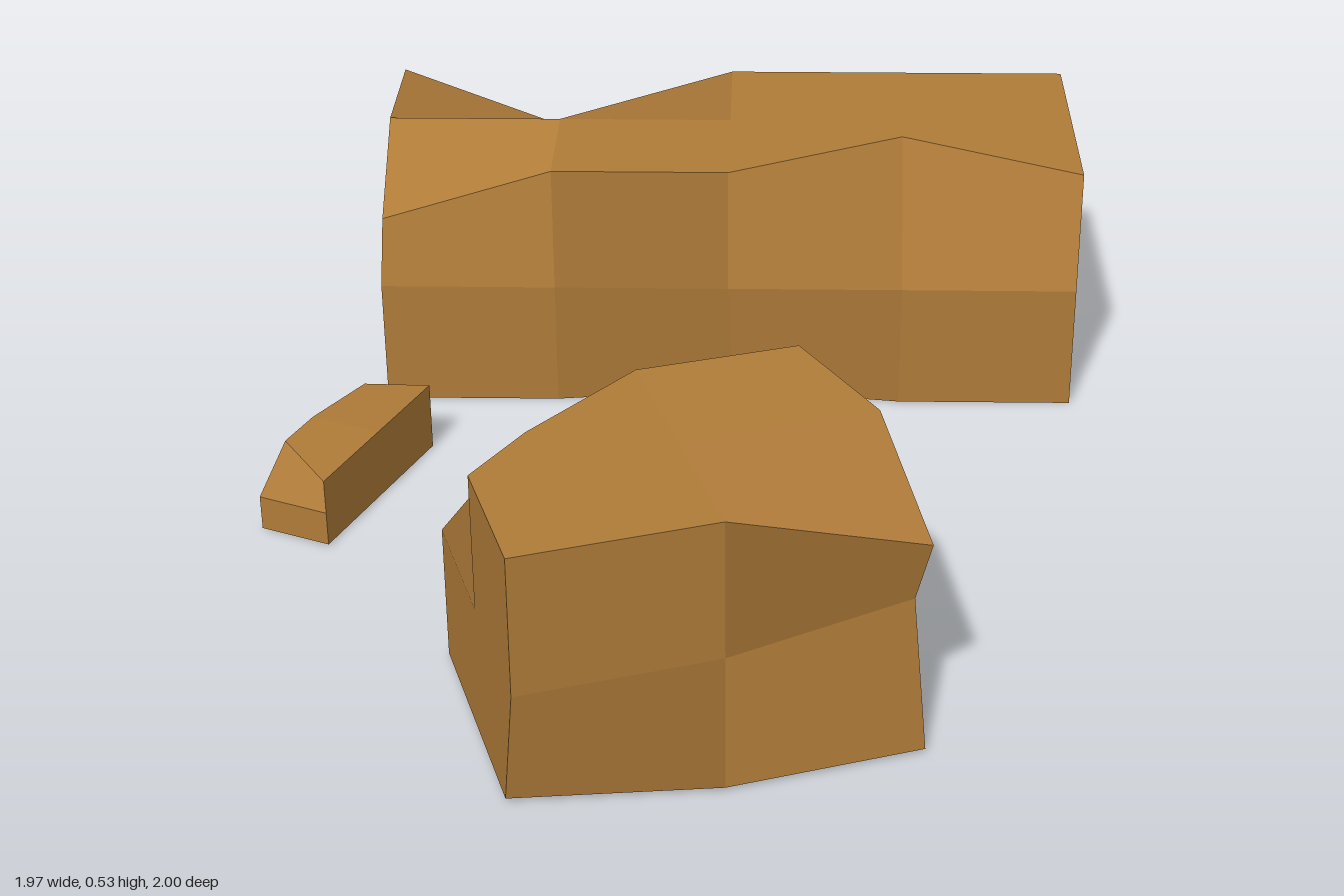
import * as THREE from 'three';

const stone = new THREE.MeshStandardMaterial({ color: 0xb07c39, side: THREE.DoubleSide });
stone.name = 'ochreStone';

// A hollow segmented box, open underneath. Each chip is [i, j, k, dx, dy, dz]:
// the grid point (along x, y, z) that is knocked out of place, and by how much.
function chippedBlock(name, size, segments, centre, lift, angle, chips) {
  const box = new THREE.BoxGeometry(...size, ...segments);
  const source = box.attributes.position;
  const point = new THREE.Vector3();
  for (let n = 0; n < source.count; n++) {
    point.fromBufferAttribute(source, n);
    const cell = point.toArray().map((v, a) => Math.round((v / size[a] + 0.5) * segments[a]));
    for (const [i, j, k, dx, dy, dz] of chips) {
      if (cell[0] === i && cell[1] === j && cell[2] === k) point.add(new THREE.Vector3(dx, dy, dz));
    }
    source.setXYZ(n, point.x, point.y, point.z);
  }

  // Leave out the underside and turn the diagonals of the side facets
  const TOP = 2, BOTTOM = 3;
  const index = box.index.array;
  const faces = [];
  for (const { start, count, materialIndex } of box.groups) {
    if (materialIndex === BOTTOM) continue;
    for (let q = start; q < start + count; q += 6) {
      const [a, b, d, , c] = index.slice(q, q + 6);
      faces.push(...(materialIndex === TOP ? [a, b, d, b, c, d] : [a, b, c, a, c, d]));
    }
  }
  box.setIndex(faces);
  box.clearGroups();

  // One flat normal for each four-sided facet
  const geometry = box.toNonIndexed();
  const position = geometry.attributes.position;
  const corner = (n) => new THREE.Vector3().fromBufferAttribute(position, n);
  const slope = (n) => corner(n + 1).sub(corner(n)).cross(corner(n + 2).sub(corner(n)));
  for (let q = 0; q < position.count; q += 6) {
    const normal = slope(q).add(slope(q + 3)).normalize();
    for (let n = q; n < q + 6; n++) geometry.attributes.normal.setXYZ(n, normal.x, normal.y, normal.z);
  }

  const mesh = new THREE.Mesh(geometry, stone);
  mesh.name = name;
  mesh.position.set(centre[0], size[1] / 2 + lift, centre[1]);
  mesh.rotation.y = angle;
  return mesh;
}

export function createModel() {
  const group = new THREE.Group();
  group.name = 'brokenStones';

  // Long slab with a notched end and two broken top edges
  group.add(chippedBlock('longStone', [1.402, 0.515, 0.517], [4, 2, 2], [0.267, -0.373], 0, -0.6435, [
    [4, 1, 0, -0.2, 0, 0],
    [3, 2, 2, 0, 0, -0.18],
    [1, 2, 0, 0, -0.135, 0],
    [0, 2, 2, 0, -0.14, -0.07],
    [0, 1, 0, 0, 0, 0.045],
    [2, 0, 2, 0.01, 0, -0.045],
  ]));

  // Squarer boulder with worn corners
  group.add(chippedBlock('squareStone', [0.7, 0.512, 0.512], [2, 2, 2], [-0.573, 0.643], 0.007, -0.3217, [
    [0, 2, 0, 0.12, 0, 0.15],
    [2, 2, 0, -0.065, 0.015, 0.027],
    [2, 2, 2, 0, -0.11, 0],
    [2, 1, 2, 0, 0, -0.07],
    [0, 0, 2, 0, 0, -0.08],
  ]));

  // Small splinter
  group.add(chippedBlock('smallStone', [0.4, 0.138, 0.145], [2, 2, 1], [-0.687, -0.319], 0.003, 0.531, [
    [0, 2, 0, 0.1, 0, 0],
    [2, 2, 0, -0.015, -0.02, 0.005],
  ]));

  return group;
}
